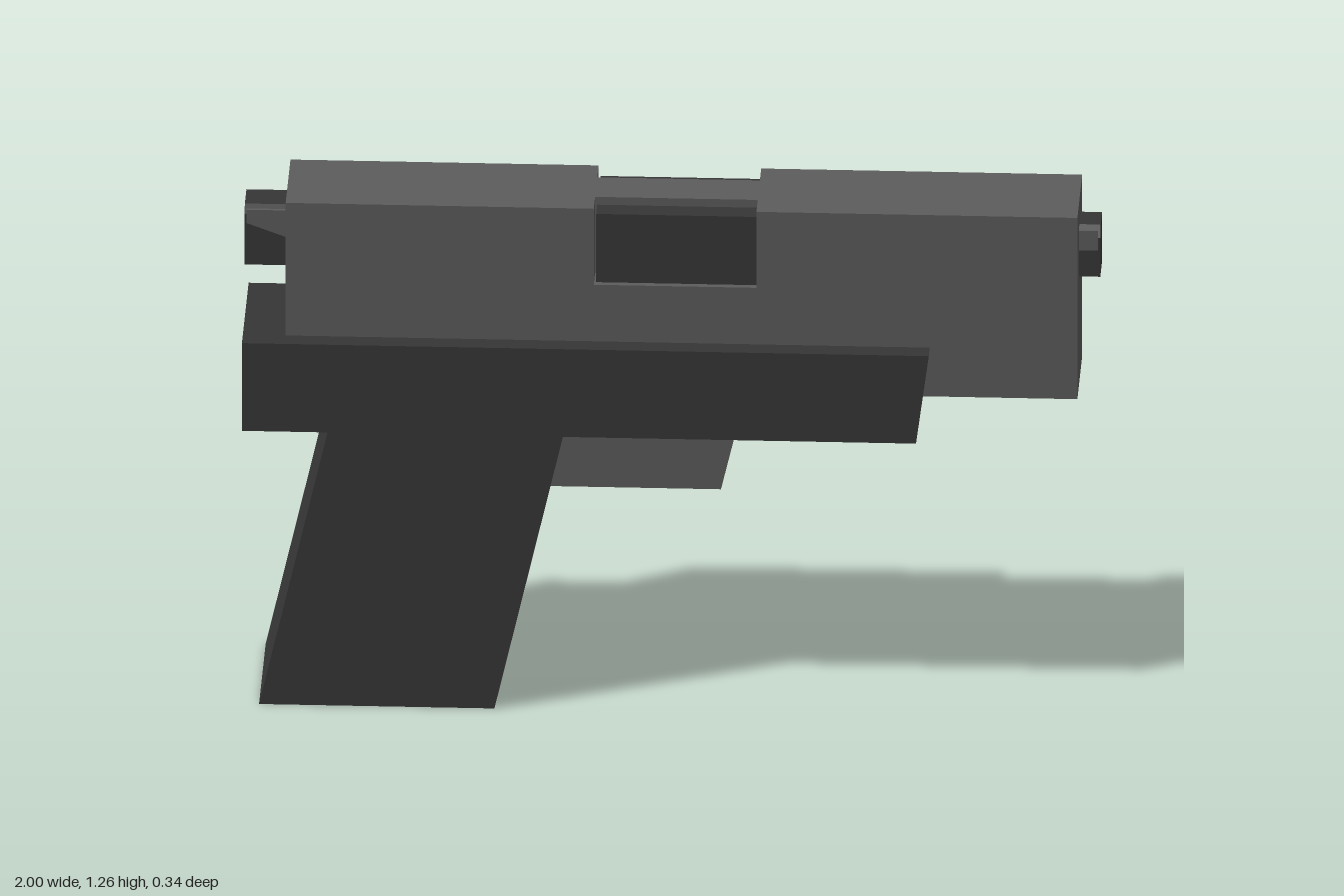
import * as THREE from 'three';

export function createModel() {
  const model = new THREE.Group();
  const dark = new THREE.MeshStandardMaterial({ color: 0x363636 });
  dark.name = 'charcoal';
  const light = new THREE.MeshStandardMaterial({ color: 0x5c5c5d });
  light.name = 'steel grey';

  const add = (name, geometry, material, parent = model) => {
    const mesh = new THREE.Mesh(geometry, material);
    mesh.name = name;
    parent.add(mesh);
    return mesh;
  };
  // Box given by its limits in x, y and z
  const box = (name, x0, x1, y0, y1, z0, z1, material, parent) =>
    add(name, new THREE.BoxGeometry(x1 - x0, y1 - y0, z1 - z0), material, parent)
      .position.set((x0 + x1) / 2, (y0 + y1) / 2, (z0 + z1) / 2);
  // Side outline extruded from z0 to z1
  const slab = (name, points, z0, z1, material) => {
    const shape = new THREE.Shape(points.map(([x, y]) => new THREE.Vector2(x, y)));
    const geometry = new THREE.ExtrudeGeometry(shape, { depth: z1 - z0, bevelEnabled: false });
    add(name, geometry.translate(0, 0, z0), material);
  };
  // End-on outline (z, y) extruded from x0 to x1
  const bar = (name, points, x0, x1, material) => {
    const shape = new THREE.Shape(points.map(([z, y]) => new THREE.Vector2(-z, y)));
    const geometry = new THREE.ExtrudeGeometry(shape, { depth: x1 - x0, bevelEnabled: false });
    add(name, geometry.rotateY(Math.PI / 2).translate(x0, 0, 0), material);
  };

  // Frame and raked grip in one outline
  slab('frame', [[-0.96, 0], [-0.41, 0], [-0.25, 0.7], [0.575, 0.7], [0.605, 0.925],
    [-1, 0.925], [-1, 0.7], [-0.8, 0.7]], -0.17, 0.17, dark);

  // Trigger guard block
  slab('triggerGuard', [[-0.29, 0.53], [0.115, 0.53], [0.155, 0.7], [-0.25, 0.7]], -0.075, 0.075, light);

  // Slide, with a port cut through each upper edge
  const slide = new THREE.Group();
  slide.name = 'slide';
  model.add(slide);
  box('slideRear', -0.9, -0.18, 0.8, 1.265, -0.122, 0.122, light, slide);
  box('slideFront', 0.2, 0.95, 0.8, 1.265, -0.122, 0.122, light, slide);
  box('slideMiddle', -0.18, 0.2, 0.8, 1.07, -0.122, 0.122, light, slide);
  box('slideRib', -0.18, 0.2, 1.07, 1.265, -0.055, 0.055, light, slide);

  // Dark chamber blocks set into the ports
  for (const side of [-1, 1]) {
    const inner = 0.055 * side, outer = 0.107 * side;
    box('chamber', -0.175, 0.2, 1.07, 1.245, Math.min(inner, outer), Math.max(inner, outer), dark);
  }

  // Muzzle and hammer, each with a clipped upper corner
  bar('muzzle', [[0.045, 1.08], [-0.045, 1.08], [-0.045, 1.205], [0.025, 1.205], [0.045, 1.18]], 0.95, 1, dark);
  bar('hammer', [[0.045, 1.07], [-0.06, 1.07], [-0.06, 1.215], [0.02, 1.215], [0.045, 1.2]], -1, -0.9, dark);

  // Pale upper cheeks beside muzzle and hammer
  slab('muzzleCheek', [[0.95, 1.15], [0.995, 1.15], [0.995, 1.2], [0.95, 1.2]], 0.045, 0.052, light);
  slab('hammerCheek', [[-0.995, 1.18], [-0.9, 1.145], [-0.9, 1.214], [-0.995, 1.214]], 0.045, 0.053, light);

  return model;
}
